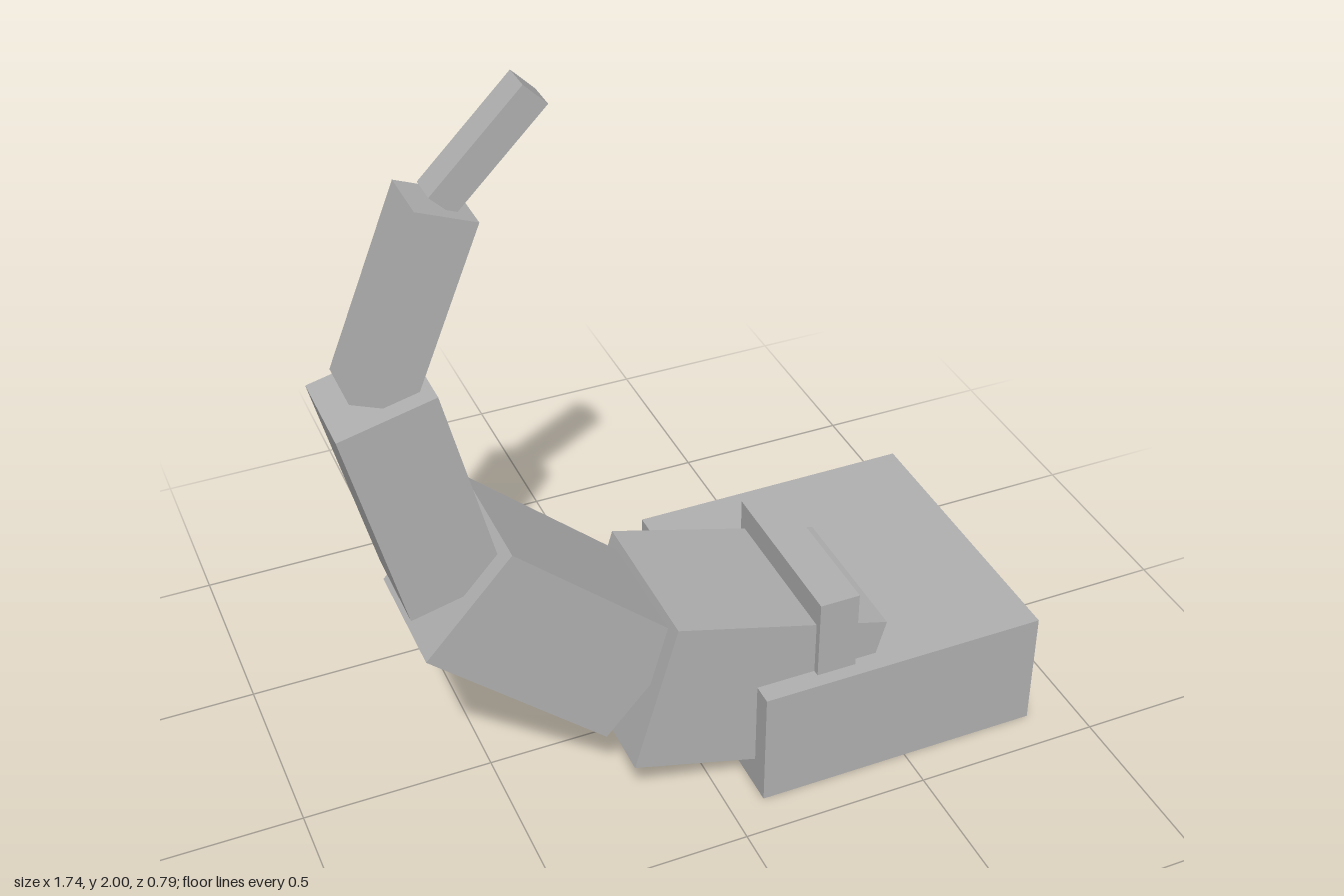
import * as THREE from 'three';

export function createModel() {
  const group = new THREE.Group();
  const grey = new THREE.MeshStandardMaterial({ color: 0xb0b0b0 });
  grey.name = 'plain grey';

  // Box placed by its centre and size, tilted in the x-y plane by degrees
  function block(name, [x, y, z], [length, height, depth], degrees = 0) {
    const mesh = new THREE.Mesh(new THREE.BoxGeometry(length, height, depth), grey);
    mesh.name = name;
    mesh.position.set(x, y, z);
    mesh.rotation.z = THREE.MathUtils.degToRad(degrees);
    group.add(mesh);
  }

  block('base', [0.482, 0.166, 0], [0.775, 0.332, 0.794]);
  block('crossbar', [0.305, 0.433, 0.13], [0.106, 0.245, 0.46]);

  // Tapering curled tail: centre x, centre y, length, thickness, angle
  const tailZ = 0.132;
  const segments = [
    [0.108, 0.305, 0.594, 0.42, -16],
    [-0.4, 0.59, 0.59, 0.328, -42],
    [-0.693, 1.055, 0.55, 0.238, -76.4],
    [-0.67, 1.54, 0.464, 0.149, 68],
    [-0.475, 1.868, 0.304, 0.076, 45],
  ];
  segments.forEach(([x, y, length, thick, angle], i) =>
    block(`tailSegment${i + 1}`, [x, y, tailZ], [length, thick, thick], angle));

  return group;
}
